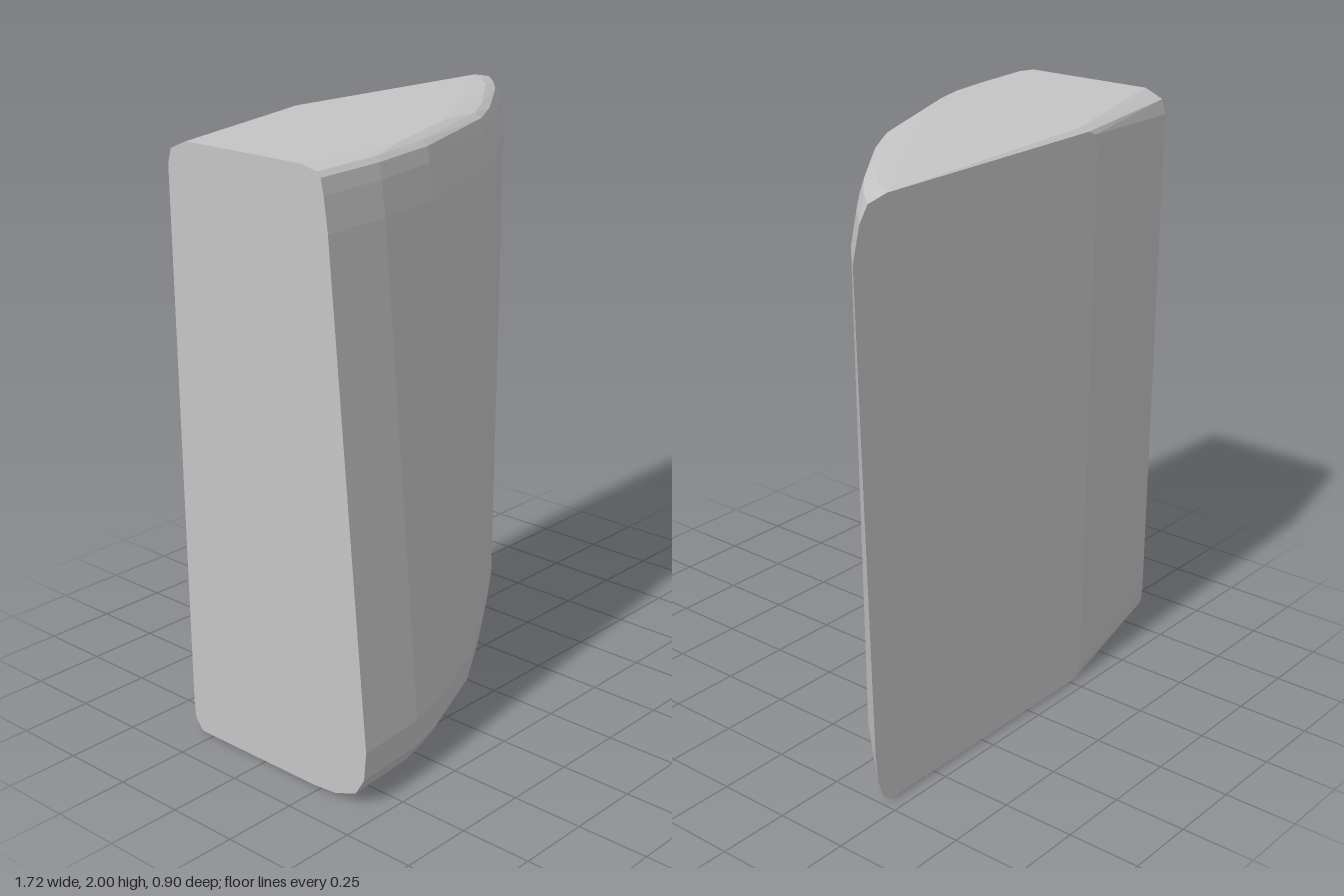
import * as THREE from 'three';
import { ConvexGeometry } from 'three/addons/geometries/ConvexGeometry.js';

// Curved front edge: [x, z] low down (y = 0.2), [x, z] high up (y = 1.9),
// inward direction, and how strongly the bottom and top rims are rounded there.
const FRONT = [
  [-0.86, 0.45, -0.86, 0.325, 0, -1, 1, 0.3],
  [-0.6, 0.428, -0.6, 0.305, 0, -1, 1, 0.3],
  [-0.45, 0.39, -0.33, 0.255, -0.25, -0.95, 1, 0.35],
  [-0.12, 0.25, 0.13, 0.085, -0.5, -0.85, 0.9, 0.45],
  [0.12, 0.095, 0.3, -0.015, -0.55, -0.83, 0.8, 0.55],
  [0.42, -0.115, 0.6, -0.23, -0.6, -0.8, 0.7, 0.7],
  [0.66, -0.31, 0.73, -0.33, -0.75, -0.65, 0.5, 1],
  [0.787, -0.455, 0.86, -0.455, -1, 0, 0.4, 1.7],
];

// Height, bottom rim inset, top rim inset, back chamfer inset
const LEVELS = [
  [0.008, 0.15, 0, 0.03],
  [0.04, 0.06, 0, 0.005],
  [0.1, 0.018, 0, 0],
  [0.2, 0, 0, 0],
  [1.81, 0, 0, 0],
  [1.92, 0, 0.02, 0],
  [1.97, 0, 0.042, 0.015],
  [1.986, 0, 0.09, 0.05],
];

function blockPoints() {
  const points = [];
  for (const [y, low, high, chamfer] of LEVELS) {
    const t = (y - 0.2) / 1.7;
    for (const [x0, z0, x1, z1, nx, nz, lowScale, highScale] of FRONT) {
      const inset = low * lowScale + high * highScale;
      points.push(new THREE.Vector3(
        x0 + (x1 - x0) * t + nx * inset, y,
        Math.max(z0 + (z1 - z0) * t + nz * inset, -0.455)));
    }
    // Angled rear corner
    points.push(new THREE.Vector3(-0.86, y, -0.34 + chamfer));
    points.push(new THREE.Vector3(-0.3 + chamfer, y, -0.455));
  }
  // Slightly crowned top and flat underside
  for (const [x, z] of [[-0.86, 0.23], [-0.86, -0.255], [-0.22, -0.435], [-0.4, 0.21], [-0.1, 0.1]])
    points.push(new THREE.Vector3(x, 2, z));
  for (const [x, z] of [[-0.86, 0.22], [-0.86, -0.3], [-0.25, -0.44], [-0.2, 0.08], [0.5, -0.44]])
    points.push(new THREE.Vector3(x, 0, z));
  return points;
}

export function createModel() {
  const grey = new THREE.MeshStandardMaterial({ color: 0xc5c5c5 });
  grey.name = 'light stone grey';
  const block = new THREE.Mesh(new ConvexGeometry(blockPoints()), grey);
  block.name = 'block';
  const group = new THREE.Group();
  group.name = 'roundedBlock';
  group.add(block);
  return group;
}
